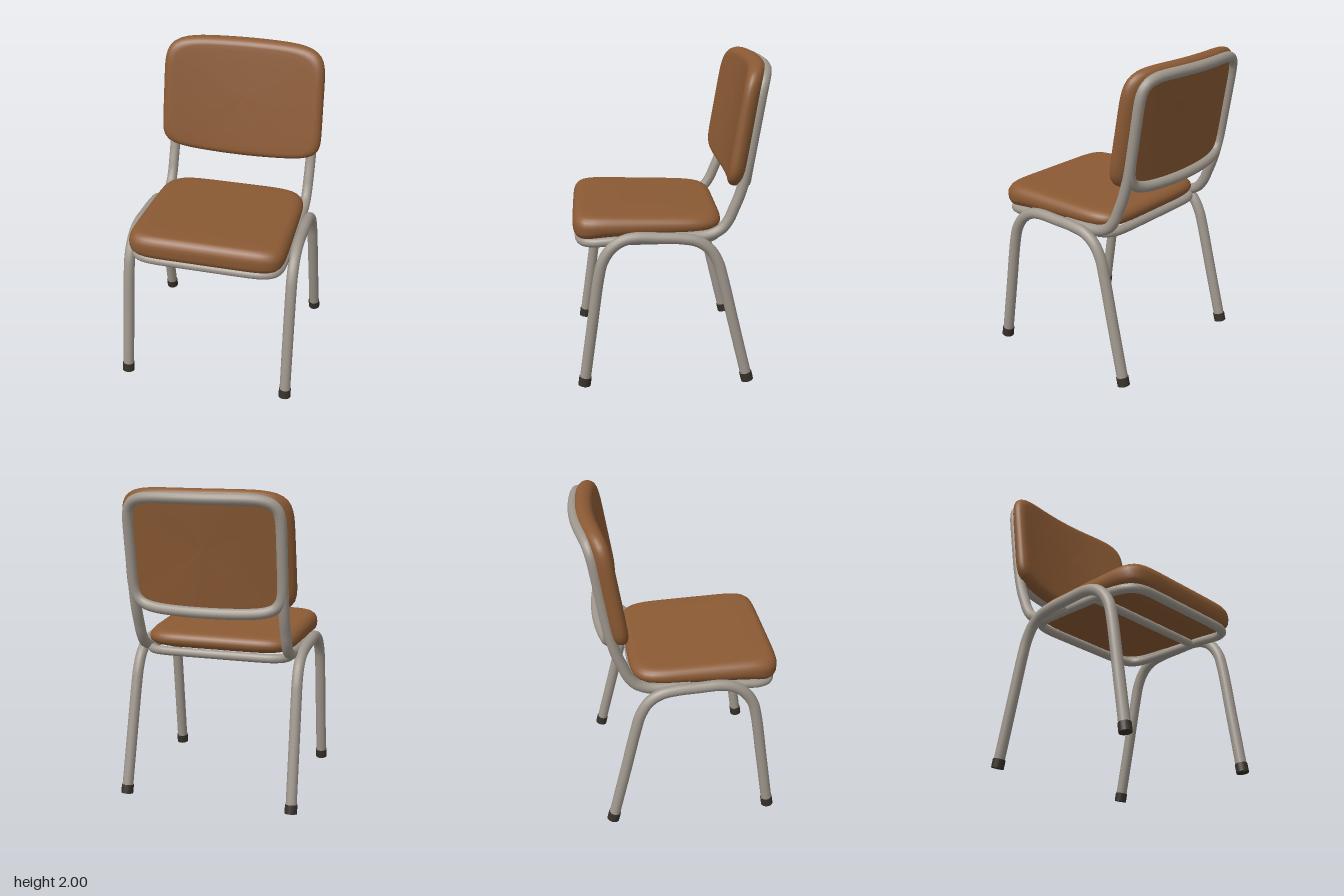
import * as THREE from 'three';

const mat = (name, color) => {
  const m = new THREE.MeshStandardMaterial({ color });
  m.name = name;
  return m;
};
const V = (x, y, z) => new THREE.Vector3(x, y, z);

// Unit rounded-square outline; the exponents set the corner tightness for v > 0 and v < 0
function outline(angle, nPos, nNeg) {
  const c = Math.cos(angle), s = Math.sin(angle), n = s > 0 ? nPos : nNeg;
  const r = 1 / Math.pow(Math.abs(c) ** n + Math.abs(s) ** n, 1 / n);
  return [c * r, s * r];
}

// Pillow built from rings: place(u, v, t) puts a unit pillow point into the model
function cushionGeometry(nPos, nNeg, edge, place) {
  const rings = [[0, 1], [0.3, 1], [0.6, 1], [0.8, 0.99]];
  for (let i = 0; i <= 12; i++) {
    const a = (i / 12) * Math.PI;
    rings.push([1 - edge + edge * Math.sin(a), Math.cos(a) * 0.97]);
  }
  rings.push([0.8, -0.97], [0.5, -0.97], [0, -0.97]);
  const N = 96, pos = [], idx = [];
  rings.forEach(([s, t], k) => {
    for (let j = 0; j < N; j++) {
      const [u, v] = outline((j / N) * Math.PI * 2, nPos, nNeg);
      pos.push(...place(u * s, v * s, t));
      if (k === rings.length - 1) continue;
      const a = k * N + j, d = k * N + ((j + 1) % N);
      idx.push(a, a + N, d + N, a, d + N, d);
    }
  });
  const g = new THREE.BufferGeometry();
  g.setAttribute('position', new THREE.Float32BufferAttribute(pos, 3));
  g.setIndex(idx);
  g.computeVertexNormals();
  return g;
}

// Smooth pipe through points
const pipe = (points, radius, closed = false, segments = 96) =>
  new THREE.TubeGeometry(new THREE.CatmullRomCurve3(points, closed, 'centripetal'), segments, radius, 14, closed);

// Closed loop of points following a rounded-square outline
function loopPoints(n, place) {
  return Array.from({ length: 64 }, (_, i) => place(...outline((i / 64) * Math.PI * 2, n, n)));
}

// Lean and backward bow shared by the backrest pad and its frame
const leanZ = (y) => -0.425 - 0.16 * (y - 1.27);
const bow = (x) => 1 - (x / 0.5) ** 2;

export function createModel() {
  const group = new THREE.Group();
  const leather = mat('brown upholstery', 0x8b5a34);
  const metal = mat('grey metal', 0x9f978d);
  const rubber = mat('dark rubber', 0x38312a);
  const add = (name, geometry, material) => {
    const m = new THREE.Mesh(geometry, material);
    m.name = name;
    group.add(m);
    return m;
  };

  // Seat cushion, thinner and narrower toward the back, front lip dropping a little
  add('seatCushion', cushionGeometry(6, 8, 0.13, (u, v, t) => {
    const z = 0.155 - 0.465 * v;
    const lip = t < 0 ? 0.02 * THREE.MathUtils.smoothstep(z, 0.4, 0.58) : 0;
    return [u * (0.493 - 0.009 * v), 1.02 - 0.003 * v + t * (0.063 - 0.012 * v) - lip, z];
  }), leather);

  // Backrest pad, bowed and leaning, with a sagging lower edge
  add('backrestCushion', cushionGeometry(6, 9, 0.12, (u, v, t) => {
    const x = u * (0.54 - 0.006 * v);
    const y = 1.635 + 0.365 * v - (v < 0 ? -v * 0.055 * bow(x) : 0);
    return [x, y, leanZ(y) + 0.065 + 0.056 * t - 0.06 * bow(x)];
  }), leather);

  // Frame loop beneath the seat and its cross bar
  add('seatFrame', pipe(loopPoints(8, (u, v) => {
    const z = 0.15 - 0.43 * v;
    return V(u * 0.468, 0.94 - 0.015 * THREE.MathUtils.smoothstep(z, 0.3, 0.55), z);
  }), 0.029, true, 160), metal);
  const bar = add('seatCrossBar', new THREE.CylinderGeometry(0.026, 0.026, 0.94, 14), metal);
  bar.rotation.z = Math.PI / 2;
  bar.position.set(0, 0.935, 0.27);

  // Bowed frame loop behind the backrest
  add('backrestFrame', pipe(loopPoints(7, (u, v) => {
    const x = u * 0.475;
    const y = 1.605 + 0.34 * v - (v < 0 ? -v * 0.015 * bow(x) : 0);
    return V(x, y, leanZ(y) - 0.06 * (1 - u * u));
  }), 0.034, true, 160), metal);

  for (const side of [1, -1]) {
    const label = side > 0 ? 'left' : 'right';

    // Upright rising from the seat side into the backrest frame
    const upright = [[0.05, 0.955], [-0.12, 0.955], [-0.22, 0.965], [-0.29, 1.0], [-0.335, 1.06],
      [-0.365, 1.13], [-0.4, 1.22], [-0.427, 1.32], [leanZ(1.6), 1.6]];
    add(label + 'Upright', pipe(upright.map(([z, y]) => V(side * 0.475, y, z)), 0.034), metal);

    // Front and rear leg bent from one arched pipe: x, y, z
    const legs = [[0.533, 0.03, 0.567], [0.53, 0.4, 0.513], [0.528, 0.74, 0.462], [0.527, 0.83, 0.438],
      [0.526, 0.91, 0.385], [0.526, 0.958, 0.315], [0.526, 0.975, 0.235], [0.526, 0.97, 0.1],
      [0.526, 0.962, -0.04], [0.527, 0.942, -0.14], [0.528, 0.89, -0.215], [0.53, 0.8, -0.268],
      [0.533, 0.7, -0.297], [0.54, 0.4, -0.368], [0.548, 0.03, -0.457]]
      .map(([x, y, z]) => V(side * x, y, z));
    add(label + 'Legs', pipe(legs, 0.035, false, 128), metal);

    // Rubber feet aligned with the legs
    for (const [name, end, next] of [['Front', legs[0], legs[1]], ['Rear', legs[14], legs[13]]]) {
      const dir = next.clone().sub(end).normalize();
      const foot = add(label + name + 'Foot', new THREE.CylinderGeometry(0.039, 0.039, 0.056, 20), rubber);
      foot.quaternion.setFromUnitVectors(V(0, 1, 0), dir);
      foot.position.copy(end).addScaledVector(dir, 0.006);
    }
  }
  return group;
}
